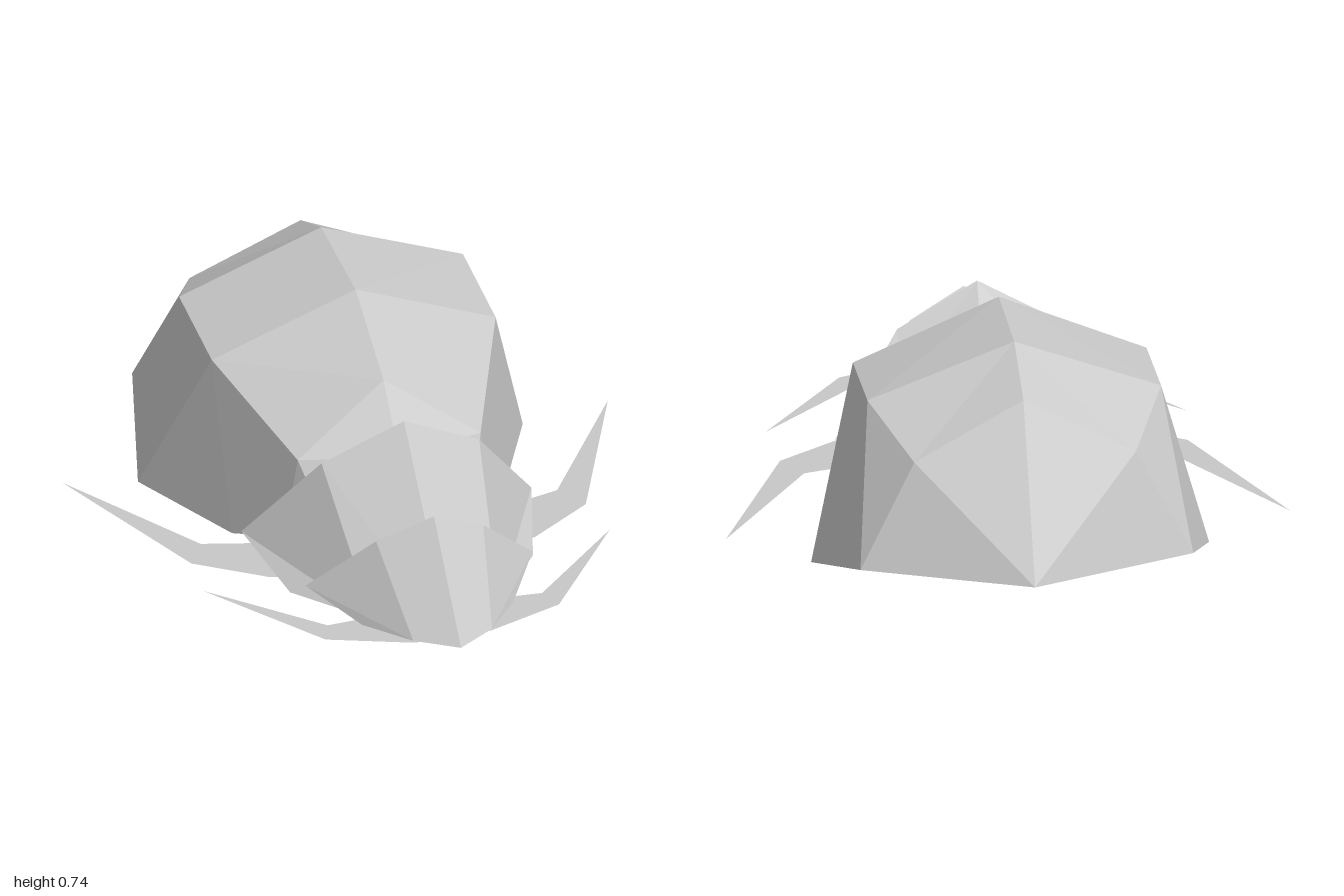
import * as THREE from 'three';

const shellGrey = new THREE.MeshStandardMaterial({ color: 0xc8c8c8, flatShading: true, side: THREE.DoubleSide });
shellGrey.name = 'shell grey';

// Skins half-sections (ridge, side, hem) running back to front, mirrored across x = 0
function shell(name, rings) {
  const pos = [];
  const tri = (a, b, c) => {
    const [p, q, r] = [a, b, c].map((v) => new THREE.Vector3(...v));
    if (q.clone().sub(p).cross(r.clone().sub(p)).length() < 1e-6) return;
    pos.push(...a, ...b, ...c);
    for (const v of [a, c, b]) pos.push(-v[0], v[1], v[2]);
  };
  for (let i = 0; i < rings.length - 1; i++) {
    for (let j = 0; j < rings[i].length - 1; j++) {
      const A = rings[i][j], B = rings[i][j + 1];
      const D = rings[i + 1][j], C = rings[i + 1][j + 1];
      tri(A, D, B);
      tri(B, D, C);
    }
  }
  const geo = new THREE.BufferGeometry();
  geo.setAttribute('position', new THREE.Float32BufferAttribute(pos, 3));
  geo.computeVertexNormals();
  const mesh = new THREE.Mesh(geo, shellGrey);
  mesh.name = name;
  return mesh;
}

// Flat swept-back leg, outlined in [x, z] at a fixed height
function leg(name, side, y, outline) {
  const shape = new THREE.Shape(outline.map(([x, z]) => new THREE.Vector2(side * x, -z)));
  const mesh = new THREE.Mesh(new THREE.ShapeGeometry(shape).rotateX(-Math.PI / 2), shellGrey);
  mesh.position.y = y;
  mesh.name = name;
  return mesh;
}

export function createModel() {
  const model = new THREE.Group();
  model.name = 'armouredBeetle';

  // Hollow domed abdomen, coming to a point at the tail
  const tail = [0, 0.14, -1];
  model.add(shell('abdomen', [
    [tail, tail, tail],
    [[0, 0.64, -0.72], [0.34, 0.47, -0.76], [0.51, 0.14, -0.8]],
    [[0, 0.74, -0.5], [0.45, 0.57, -0.5], [0.61, 0, -0.4]],
    [[0, 0.73, -0.13], [0.45, 0.545, -0.15], [0.43, 0.015, 0]],
    [[0, 0.58, 0.17], [0.29, 0.38, 0.23], [0.33, 0.11, 0.22]],
    [[0, 0.4, 0.34], [0.25, 0.26, 0.31], [0.28, 0.12, 0.27]],
  ]));

  // Middle plate: inward back lip, raised rim, sloping front
  model.add(shell('thoraxPlate', [
    [[0, 0.38, 0.275], [0.26, 0.27, 0.26], [0.37, 0.12, 0.18]],
    [[0, 0.56, 0.39], [0.25, 0.43, 0.35], [0.46, 0.14, 0.2]],
    [[0, 0.09, 0.87], [0.2, 0.085, 0.73], [0.385, 0.065, 0.47]],
  ]));

  // Pointed head plate
  model.add(shell('headPlate', [
    [[0, 0.28, 0.64], [0.16, 0.2, 0.6], [0.28, 0.11, 0.53]],
    [[0, 0.405, 0.71], [0.17, 0.32, 0.665], [0.36, 0.13, 0.55]],
    [[0, 0.105, 1], [0.125, 0.1, 0.91], [0.24, 0.085, 0.75]],
  ]));

  // Two pairs of legs
  for (const [label, side] of [['left', 1], ['right', -1]]) {
    model.add(leg(label + 'RearLeg', side, 0.068,
      [[0.865, -0.35], [0.625, 0.225], [0.42, 0.37], [0.22, 0.43], [0.34, 0.18], [0.565, 0.12]]));
    model.add(leg(label + 'FrontLeg', side, 0.083,
      [[0.645, 0.415], [0.37, 0.8], [0.13, 0.89], [0.08, 0.9], [0.2, 0.71], [0.34, 0.72]]));
  }
  return model;
}
